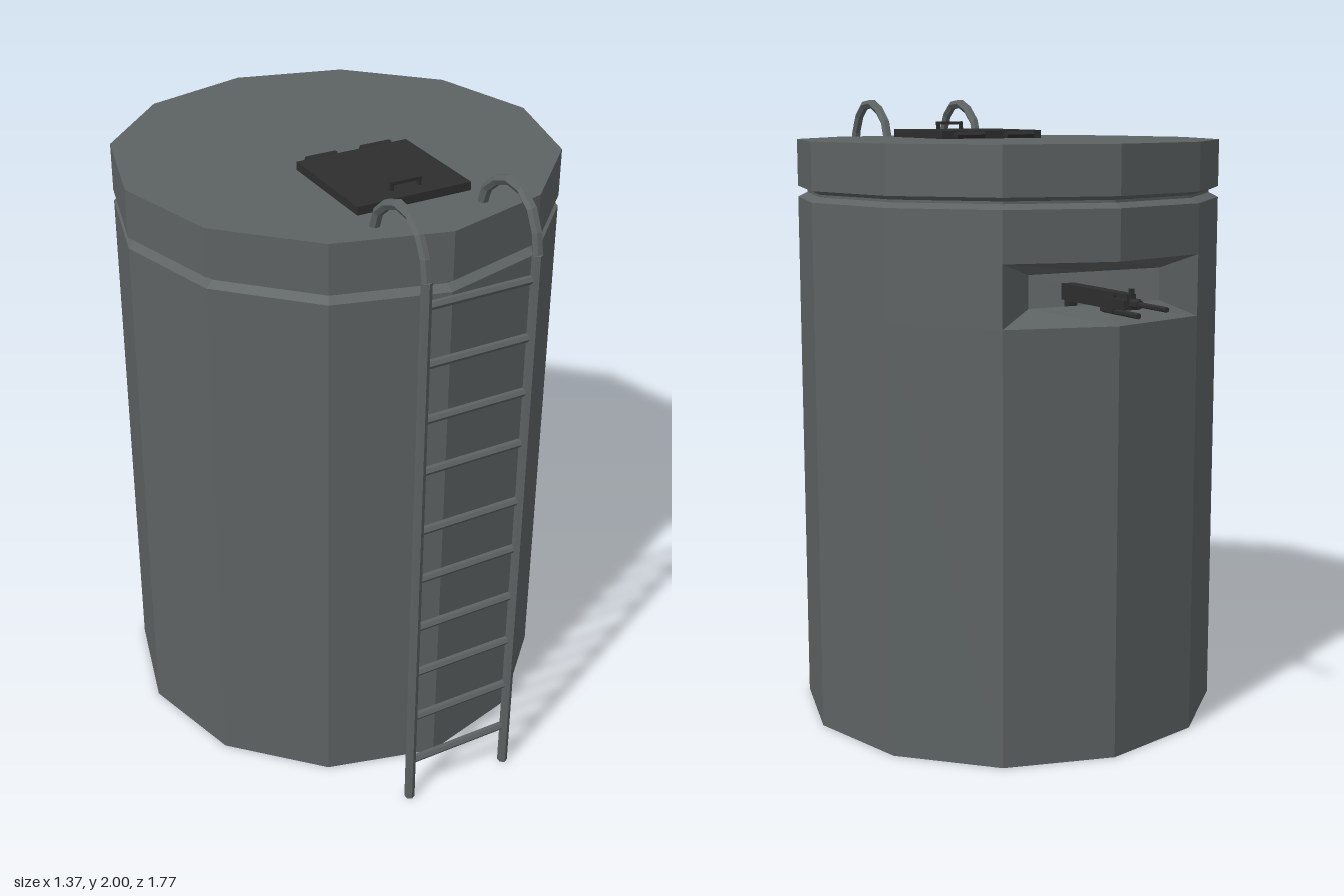
import * as THREE from 'three';

const R = 0.683, CZ = 0.045, SIDES = 12;      // tower radius, centre z, wall count
const SLOT_LOW = 1.34, SLOT_HIGH = 1.53;      // embrasure heights on the outer wall

const concrete = new THREE.MeshStandardMaterial({ color: 0x5d6262, flatShading: true, side: THREE.DoubleSide });
concrete.name = 'grey concrete';
const iron = new THREE.MeshStandardMaterial({ color: 0x2e2e2e, flatShading: true });
iron.name = 'black iron';

function add(parent, name, geometry, material, x = 0, y = 0, z = 0) {
  const mesh = new THREE.Mesh(geometry, material);
  mesh.name = name;
  mesh.position.set(x, y, z);
  parent.add(mesh);
  return mesh;
}

function group(parent, name) {
  const g = new THREE.Group();
  g.name = name;
  parent.add(g);
  return g;
}

const ring = (pts, start = 0, sides = SIDES) => new THREE.LatheGeometry(
  pts.map(([r, y]) => new THREE.Vector2(r, y)), sides, start * Math.PI / 6, sides * Math.PI / 6);

// Cylinder lying along z
const rod = (radius, length, sides = 6) =>
  new THREE.CylinderGeometry(radius, radius, length, sides).rotateX(Math.PI / 2);

// Sloping reveal joining the two-facet wall opening to a smaller inner window
function revealGeometry() {
  const sx = R * 0.5, sz = CZ - R * Math.cos(Math.PI / 6), mz = CZ - R;
  const loop = (w, zSide, zMid, lo, hi) => [
    [-w, lo, zSide], [0, lo, zMid], [w, lo, zSide],
    [w, hi, zSide], [0, hi, zMid], [-w, hi, zSide]];
  const outer = loop(sx, sz, mz, SLOT_LOW, SLOT_HIGH);
  const inner = loop(0.23, -0.5, -0.5, 1.39, 1.49);
  const index = [];
  for (let i = 0; i < 6; i++) {
    const j = (i + 1) % 6;
    index.push(i, j, j + 6, i, j + 6, i + 6);
  }
  const geo = new THREE.BufferGeometry();
  geo.setAttribute('position', new THREE.Float32BufferAttribute([...outer, ...inner].flat(), 3));
  geo.setIndex(index);
  geo.computeVertexNormals();
  return geo;
}

export function createModel() {
  const model = new THREE.Group();
  model.name = 'watchTower';

  // Hollow twelve-sided tower, with two facets left open at the back
  const tower = group(model, 'tower');
  add(tower, 'lowerWall', ring([[R, 0], [R, SLOT_LOW]]), concrete, 0, 0, CZ);
  add(tower, 'slotWall', ring([[R, SLOT_LOW], [R, SLOT_HIGH]], 7, 10), concrete, 0, 0, CZ);
  add(tower, 'upperWallAndRoof', ring([[R, SLOT_HIGH], [R, 1.685], [R - 0.03, 1.7],
    [R - 0.03, 1.708], [R, 1.72], [R, 1.87], [0, 1.87]]), concrete, 0, 0, CZ);
  add(tower, 'embrasureReveal', revealGeometry(), concrete);

  // Ladder with rails hooked over the roof
  const ladder = group(model, 'ladder');
  const arch = new THREE.CatmullRomCurve3([[0.87, 1.82], [0.85, 1.905], [0.8, 1.965], [0.735, 1.983],
    [0.67, 1.965], [0.612, 1.92], [0.59, 1.86]].map(([z, y]) => new THREE.Vector3(0, y, z)));
  for (const side of [-1, 1]) {
    const x = side * 0.175;
    add(ladder, 'rail', new THREE.CylinderGeometry(0.016, 0.016, 1.82, 6), concrete, x, 0.91, 0.87);
    add(ladder, 'railHook', new THREE.TubeGeometry(arch, 7, 0.016, 6), concrete, x);
  }
  for (const y of [0.145, 0.32, 0.495, 0.667, 0.845, 1.017, 1.22, 1.39, 1.565, 1.745]) {
    add(ladder, 'rung', new THREE.CylinderGeometry(0.013, 0.013, 0.35, 6).rotateZ(Math.PI / 2),
      concrete, 0, y, 0.865);
  }

  // Roof hatch with hinges and a pull handle
  const hatch = group(model, 'hatch');
  add(hatch, 'hatchLid', new THREE.BoxGeometry(0.37, 0.026, 0.365), iron, 0, 1.883, 0.332);
  for (const x of [-0.092, 0.092]) {
    add(hatch, 'hinge', new THREE.CylinderGeometry(0.013, 0.013, 0.1, 6).rotateZ(Math.PI / 2),
      iron, x, 1.883, 0.13);
    add(hatch, 'hingeLeaf', new THREE.BoxGeometry(0.1, 0.01, 0.03), iron, x, 1.883, 0.142);
  }
  add(hatch, 'handleGrip', new THREE.BoxGeometry(0.1, 0.01, 0.012), iron, 0, 1.917, 0.46);
  for (const x of [-0.045, 0.045]) {
    add(hatch, 'handlePost', new THREE.BoxGeometry(0.01, 0.025, 0.012), iron, x, 1.904, 0.46);
  }

  // Mounted gun pointing out of the embrasure
  const gun = group(model, 'gun');
  add(gun, 'receiver', new THREE.BoxGeometry(0.045, 0.05, 0.3), iron, 0, 1.415, -0.49);
  add(gun, 'foreEnd', new THREE.BoxGeometry(0.058, 0.03, 0.1), iron, 0, 1.41, -0.655);
  add(gun, 'topCover', new THREE.BoxGeometry(0.03, 0.022, 0.2), iron, 0, 1.43, -0.6);
  add(gun, 'barrelSleeve', rod(0.014, 0.1), iron, 0, 1.415, -0.695);
  add(gun, 'barrel', rod(0.008, 0.24), iron, 0, 1.415, -0.762);
  add(gun, 'frontSight', new THREE.BoxGeometry(0.012, 0.04, 0.014), iron, 0, 1.437, -0.7);
  add(gun, 'lowerTube', rod(0.009, 0.2), iron, 0, 1.381, -0.64);
  add(gun, 'tubeBracket', new THREE.BoxGeometry(0.03, 0.03, 0.03), iron, 0, 1.392, -0.6);
  add(gun, 'rearGrip', new THREE.BoxGeometry(0.03, 0.07, 0.03), iron, 0, 1.37, -0.36);

  return model;
}
